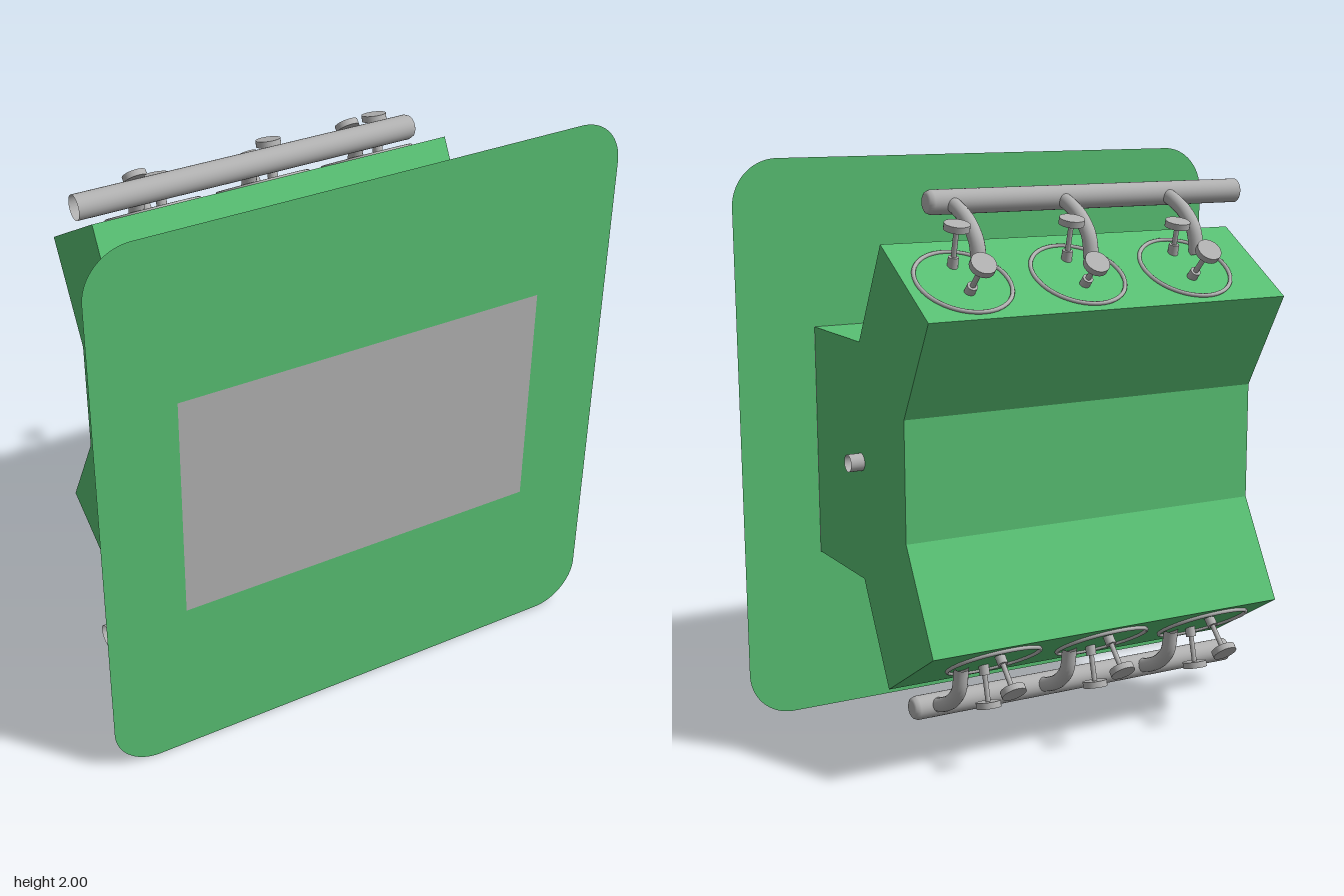
import * as THREE from 'three';

const green = new THREE.MeshStandardMaterial({ color: 0x58c073, side: THREE.DoubleSide });
green.name = 'green';
const grey = new THREE.MeshStandardMaterial({ color: 0xb2b2b2, side: THREE.DoubleSide });
grey.name = 'grey';

function add(parent, name, geometry, material) {
  const mesh = new THREE.Mesh(geometry, material);
  mesh.name = name;
  parent.add(mesh);
  return mesh;
}

// Poppet valve: base on the head face, stem leaning by tilt
function addValve(parent, name, x, y, z, tilt, length) {
  const valve = new THREE.Group();
  valve.name = name;
  valve.position.set(x, y, z);
  valve.rotation.x = tilt;
  add(valve, 'valveGuide', new THREE.CylinderGeometry(0.018, 0.018, 0.045, 20), grey).position.y = 0.01;
  add(valve, 'valveStem', new THREE.CylinderGeometry(0.009, 0.009, length, 16), grey).position.y = length / 2 - 0.01;
  add(valve, 'valveCap', new THREE.CylinderGeometry(0.043, 0.043, 0.022, 28), grey).position.y = length - 0.011;
  parent.add(valve);
}

// Cylinder rings, valves and exhaust manifold of one bank, relative to the crank height
function makeBank(name, openEnd, closedEnd, liftedValves) {
  const bank = new THREE.Group();
  bank.name = name;
  const bores = [-0.37, 0.05, 0.47];
  bores.forEach((x, i) => {
    const ring = add(bank, 'cylinderRing', new THREE.TorusGeometry(0.161, 0.007, 8, 56), grey);
    ring.position.set(x, 0.64, -0.302);
    ring.rotation.x = -Math.PI / 2 - Math.PI / 6;

    const drop = (valve) => (liftedValves && valve === i ? 0.028 : 0);
    addValve(bank, 'exhaustValve', x, 0.68, -0.225, -Math.PI / 12, 0.145 - drop(0));
    addValve(bank, 'intakeValve', x, 0.61, -0.345, -Math.PI / 4, 0.145 - drop(1));

    // Curved runner from the head to the manifold
    const runnerX = x - 0.09;
    const path = new THREE.CatmullRomCurve3([
      [0.87, -0.025], [0.845, -0.1], [0.81, -0.165], [0.755, -0.218], [0.67, -0.237],
    ].map(([y, z]) => new THREE.Vector3(runnerX, y, z)));
    add(bank, 'exhaustRunner', new THREE.TubeGeometry(path, 24, 0.026, 16), grey);
  });

  // Manifold pipe, open at one end and closed at the other
  const length = Math.abs(closedEnd - openEnd);
  const profile = [[0.042, 0], [0.042, length - 0.02], [0.036, length - 0.005], [0.028, length], [0, length]]
    .map(([r, y]) => new THREE.Vector2(r, y));
  const pipe = add(bank, 'exhaustManifold', new THREE.LatheGeometry(profile, 28), grey);
  pipe.position.set(openEnd, 0.87, -0.025);
  pipe.rotation.z = closedEnd > openEnd ? -Math.PI / 2 : Math.PI / 2;
  return bank;
}

export function createModel() {
  const model = new THREE.Group();
  model.name = 'engine';

  // Engine block: upper half of the outline, then mirrored below the crank
  const half = [[0.477, 0.41], [0.08, 0.41], [-0.11, 0.75], [-0.463, 0.54], [-0.27, 0.205]];
  const outline = [
    ...half.map(([z, y]) => new THREE.Vector2(-z, 1 + y)),
    ...half.slice().reverse().map(([z, y]) => new THREE.Vector2(-z, 1 - y)),
  ];
  const block = new THREE.ExtrudeGeometry(new THREE.Shape(outline), { depth: 1.34, bevelEnabled: false });
  block.rotateY(Math.PI / 2).translate(-0.67, 0, 0);
  add(model, 'engineBlock', block, green);

  // Thin mounting plate with rounded corners and a rectangular opening
  const w = 0.955, r = 0.165;
  const plate = new THREE.Shape();
  plate.absarc(w - r, r, r, -Math.PI / 2, 0);
  plate.absarc(w - r, 2 - r, r, 0, Math.PI / 2);
  plate.absarc(-w + r, 2 - r, r, Math.PI / 2, Math.PI);
  plate.absarc(-w + r, r, r, Math.PI, Math.PI * 1.5);
  plate.closePath();
  const opening = new THREE.Path();
  opening.moveTo(-0.67, 0.59).lineTo(-0.67, 1.41).lineTo(0.67, 1.41).lineTo(0.67, 0.59).closePath();
  plate.holes.push(opening);
  add(model, 'mountingPlate', new THREE.ShapeGeometry(plate, 16), green).position.z = 0.48;
  add(model, 'frontPanel', new THREE.PlaneGeometry(1.34, 0.82), grey).position.set(0, 1, 0.48);

  // Crankshaft stubs and flywheel
  for (const side of [-1, 1]) {
    const stub = add(model, 'crankshaft', new THREE.CylinderGeometry(0.03, 0.03, 0.06, 24, 1, true), grey);
    stub.position.set(side * 0.69, 1, 0.083);
    stub.rotation.z = Math.PI / 2;
  }
  const flywheel = add(model, 'flywheel', new THREE.CylinderGeometry(0.09, 0.09, 0.04, 40), grey);
  flywheel.position.set(-0.73, 1, 0.083);
  flywheel.rotation.z = Math.PI / 2;

  // Two banks, the lower one turned half round the front axis
  const upper = makeBank('upperBank', -0.76, 0.47, true);
  const lower = makeBank('lowerBank', 0.76, -0.55, false);
  upper.position.y = lower.position.y = 1;
  lower.rotation.z = Math.PI;
  model.add(upper, lower);
  return model;
}
